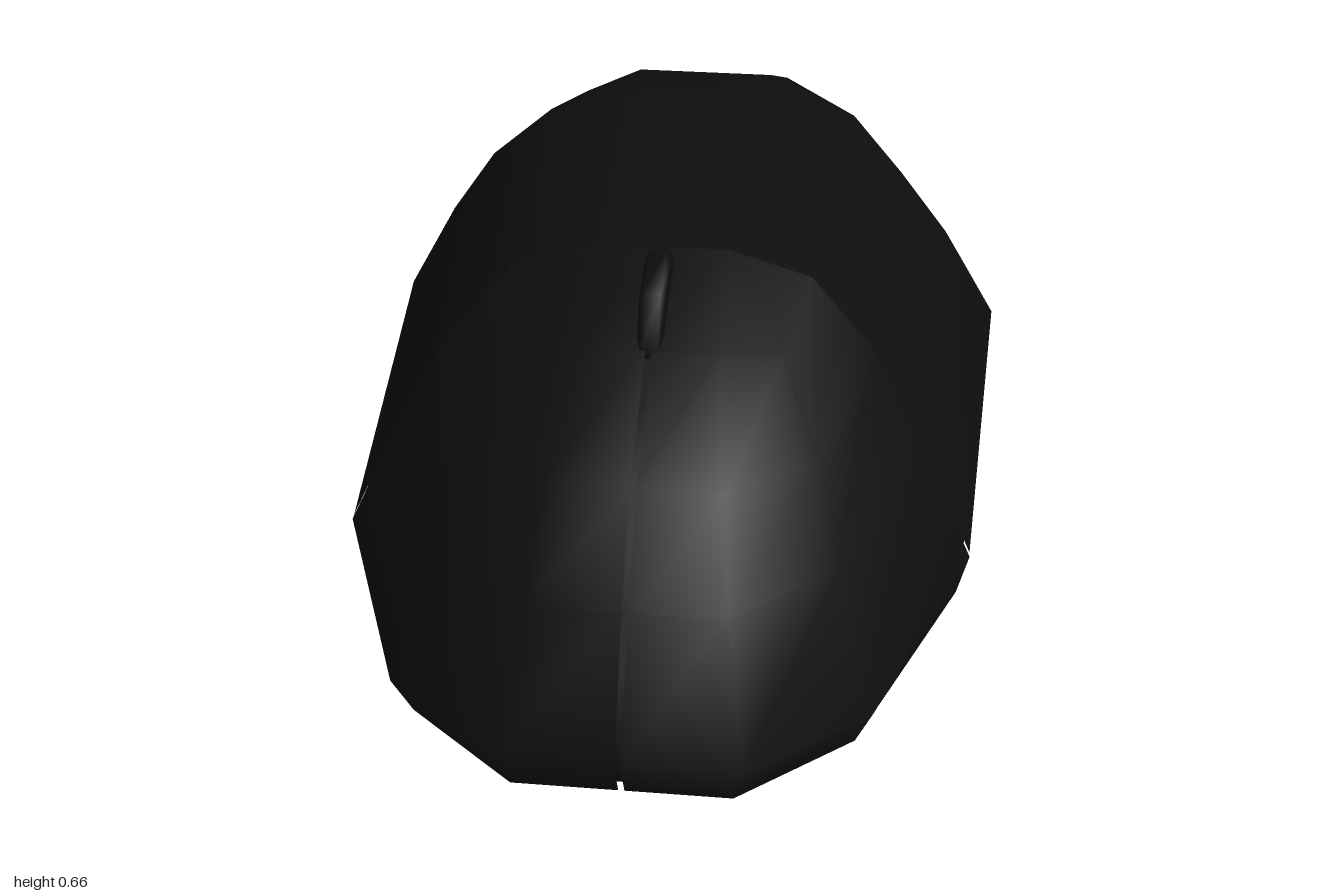
import * as THREE from 'three';
import { mergeVertices } from 'three/addons/utils/BufferGeometryUtils.js';

// Levels from base to crown; each has front, corner and side points [x, y, z]
const LEVELS = [
  { F: [0.20, 0, 0.96], C: [0.41, 0, 0.81], S: [0.60, 0, 0.40] },
  { F: [0.215, 0.09, 1], C: [0.44, 0.09, 0.84], S: [0.62, 0.09, 0.41] },
  { F: [0.18, 0.30, 0.88], C: [0.36, 0.30, 0.74], S: [0.51, 0.30, 0.37] },
  { F: [0.16, 0.45, 0.75], C: [0.31, 0.43, 0.62], S: [0.41, 0.46, 0.32] },
  { F: [0.135, 0.56, 0.53], C: [0.24, 0.53, 0.48], S: [0.285, 0.58, 0.29] },
  { F: [0.125, 0.62, 0.28], C: [0.125, 0.62, 0.28], S: [0.125, 0.62, 0.28] },
];
const TOP = LEVELS.length - 1;
const GAP = 0.005;

// Column = [kind, x sign, z sign]; M is the middle seam
function point(level, [kind, sx, sz]) {
  const [x, y, z] = LEVELS[level][kind === 'M' ? 'F' : kind];
  const taper = sz > 0 ? 0.9 : 1; // the nose is narrower than the back
  return [kind === 'M' ? sx * GAP : sx * x * taper, y, sz * z];
}

// Skin between levels over the given columns, with an optional crown
function shell(columns, { closed = false, crown = null, adjust = (p) => p } = {}) {
  const pos = [];
  const tri = (...pts) => {
    const same = (a, b) => a.every((v, i) => Math.abs(v - b[i]) < 1e-6);
    const [a, b, c] = pts;
    if (!same(a, b) && !same(b, c) && !same(a, c)) pos.push(...a, ...b, ...c);
  };
  const at = (i, col) => adjust(point(i, col), col, i);
  const count = closed ? columns.length : columns.length - 1;
  for (let i = 0; i < TOP; i++) {
    for (let j = 0; j < count; j++) {
      const p = columns[j], q = columns[(j + 1) % columns.length];
      tri(at(i, p), at(i, q), at(i + 1, q));
      tri(at(i, p), at(i + 1, q), at(i + 1, p));
    }
  }
  if (crown) {
    const [a, b, c, d] = crown.map((col) => at(TOP, col));
    tri(a, b, c);
    tri(a, c, d);
  }
  return smooth(pos);
}

function smooth(pos) {
  let g = new THREE.BufferGeometry();
  g.setAttribute('position', new THREE.Float32BufferAttribute(pos, 3));
  g = mergeVertices(g, 1e-5);
  g.computeVertexNormals();
  return g;
}

export function createModel() {
  const group = new THREE.Group();
  const black = new THREE.MeshStandardMaterial({ color: 0x0e0e0e });
  black.name = 'black plastic';
  const add = (name, geometry) => {
    const mesh = new THREE.Mesh(geometry, black);
    mesh.name = name;
    group.add(mesh);
    return mesh;
  };

  const backCols = [
    ['S', 1, 1], ['S', 1, -1], ['C', 1, -1], ['F', 1, -1],
    ['F', -1, -1], ['C', -1, -1], ['S', -1, -1], ['S', -1, 1],
  ];
  const crown = [['S', 1, 1], ['S', 1, -1], ['S', -1, -1], ['S', -1, 1]];
  const frontLeft = [['M', 1, 1], ['F', 1, 1], ['C', 1, 1], ['S', 1, 1]];
  const frontRight = frontLeft.map(([k, , z]) => [k, -1, z]).reverse();

  // Palm rest and sides
  add('backShell', shell(backCols, { crown }));

  // Two buttons, set just off the seam
  const offSeam = ([x, y, z], [kind], level) =>
    [x, y, kind === 'S' || level === TOP ? z + 0.012 : z];
  add('leftButton', shell(frontLeft, { adjust: offSeam }));
  add('rightButton', shell(frontRight, { adjust: offSeam }));

  // Slightly smaller body that closes the seams
  const ring = [...backCols, ['C', -1, 1], ['F', -1, 1], ['F', 1, 1], ['C', 1, 1]];
  add('innerBody', shell(ring, {
    closed: true, crown,
    adjust: ([x, y, z]) => [x * 0.98, y * 0.985, z * 0.98],
  }));

  // Flat underside
  const base = [];
  const rim = ring.map((col) => point(0, col));
  rim.forEach((p, i) => base.push(0, 0, 0, ...rim[(i + 1) % rim.length], ...p));
  add('base', smooth(base));

  // Scroll wheel
  const profile = [[0, -0.022], [0.115, -0.022], [0.135, -0.015], [0.135, 0.015], [0.115, 0.022], [0, 0.022]]
    .map(([r, y]) => new THREE.Vector2(r, y));
  const wheel = new THREE.LatheGeometry(profile, 8, THREE.MathUtils.degToRad(10));
  wheel.rotateZ(Math.PI / 2);
  add('scrollWheel', wheel).position.set(0, 0.53, 0.4);

  return group;
}
